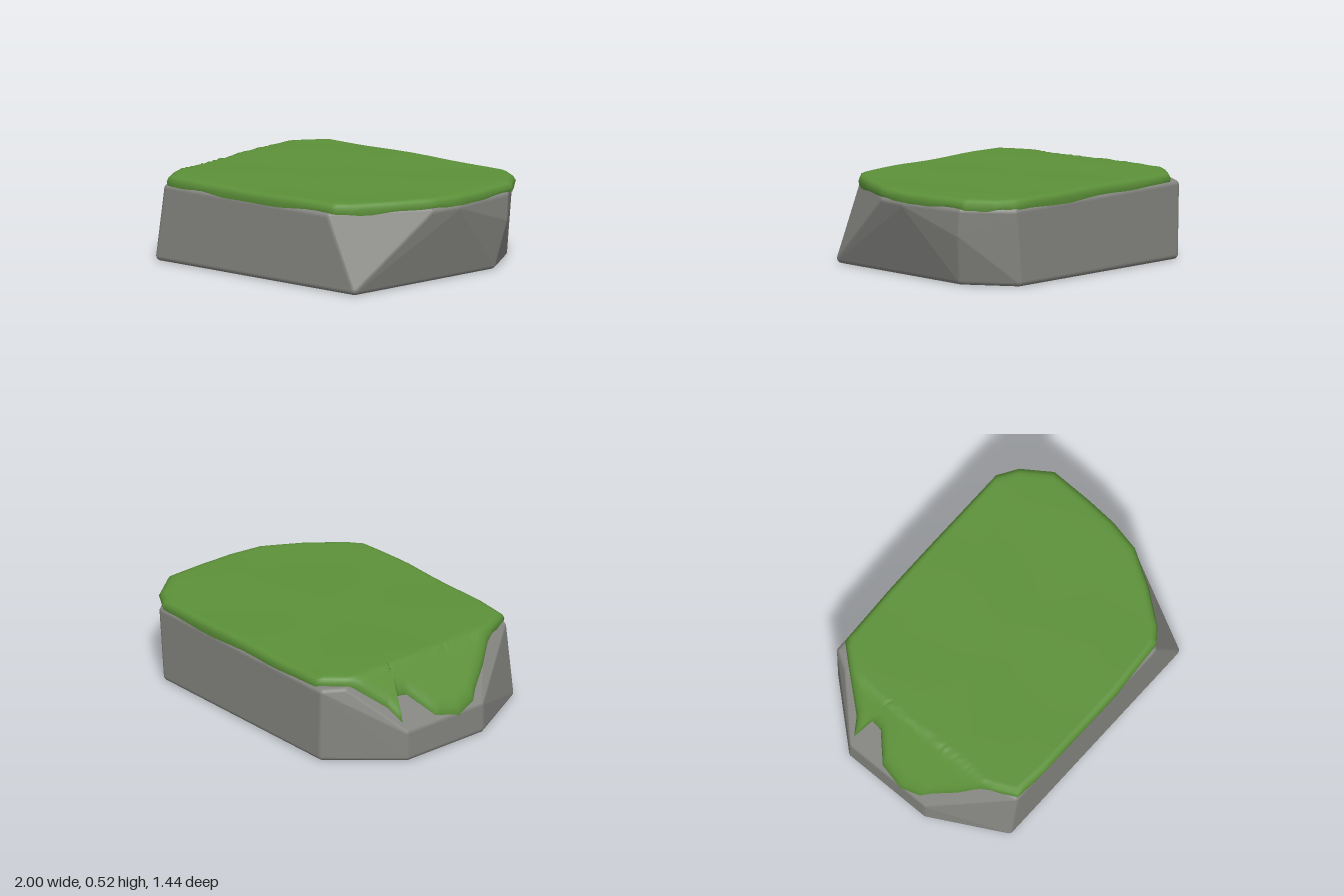
import * as THREE from 'three';
import { ConvexGeometry } from 'three/addons/geometries/ConvexGeometry.js';

const stone = new THREE.MeshStandardMaterial({ color: 0x858581 });
stone.name = 'stone grey';
const grass = new THREE.MeshStandardMaterial({ color: 0x5c9139, side: THREE.DoubleSide });
grass.name = 'grass green';

// Convex block with softly rounded edges: a small ball swept over every corner
function createRock() {
  const r = 0.03;
  const corners = [
    // foot
    [-0.75, 0, 0.71], [0.77, 0, 0.71], [0.93, 0, -0.4], [0.76, 0, -0.715],
    [-0.66, 0, -0.715], [-0.995, 0, -0.33], [-0.995, 0, 0.26],
    // bend in the right face
    [0.99, 0.33, -0.44],
    // top edge
    [0.57, 0.47, 0.705], [0.95, 0.47, 0.2], [0.99, 0.47, 0], [0.99, 0.47, -0.45],
    [0.8, 0.47, -0.715], [-0.67, 0.47, -0.715], [-0.74, 0.47, -0.6],
    [-0.74, 0.47, 0.5], [-0.69, 0.47, 0.705],
    // low end of the slope
    [-0.995, 0.21, -0.33], [-0.995, 0.21, 0.26],
  ];
  const ball = new THREE.IcosahedronGeometry(r, 3).getAttribute('position');
  const points = [];
  const seen = new Set();
  for (const [x, y, z] of corners) {
    const core = new THREE.Vector3(x * 0.97, y === 0 ? r : y - r, z * 0.958);
    for (let i = 0; i < ball.count; i++) {
      const p = new THREE.Vector3().fromBufferAttribute(ball, i).add(core);
      const key = p.toArray().map((v) => v.toFixed(4)).join();
      if (!seen.has(key)) points.push(p);
      seen.add(key);
    }
  }
  const mesh = new THREE.Mesh(new ConvexGeometry(points), stone);
  mesh.name = 'rock';
  return mesh;
}

// Height of the turf: flat with gentle bumps, falling away at the left end
function turfHeight(x, z) {
  const bump = 0.004 * Math.sin(7 * x + 3 * z) * Math.cos(5 * z - 2 * x);
  return Math.min(0.52, 0.225 + 1.15 * (x + 1)) + bump;
}

// Grass cap: rings from the ragged lip in to the middle
function createTurf() {
  const outline = [
    [-0.6, -0.705], [-0.2, -0.718], [0.3, -0.718], [0.76, -0.715], [0.88, -0.64], [0.95, -0.54],
    [1, -0.47], [1, -0.2], [0.99, 0], [0.95, 0.2], [0.82, 0.42], [0.67, 0.62], [0.58, 0.69],
    [0.2, 0.718], [-0.2, 0.715], [-0.45, 0.718], [-0.67, 0.7], [-0.72, 0.6], [-0.77, 0.49],
    [-0.85, 0.38], [-0.93, 0.25], [-0.97, 0.2], [-1, 0.07], [-0.97, -0.09],
    // notch
    [-0.85, -0.21], [-0.84, -0.285], [-0.95, -0.33], [-0.87, -0.38], [-0.72, -0.57],
  ];
  const steps = 4;
  const rim = [];
  outline.forEach(([x, z], i) => {
    const [nx, nz] = outline[(i + 1) % outline.length];
    for (let k = 0; k < steps; k++) {
      const t = k / steps;
      rim.push([x + (nx - x) * t, z + (nz - z) * t]);
    }
  });

  // [scale towards the middle, drop below the turf height]
  const rings = [[0.994, 0.062], [1, 0.035], [0.988, 0.01], [0.965, 0]];
  for (let s = 0.94; s > 0.66; s -= 0.03) rings.push([s, 0]);
  rings.push([0.45, 0], [0.2, 0], [0, 0]);

  const n = rim.length;
  const positions = [];
  const index = [];
  rings.forEach(([s, drop], j) => {
    rim.forEach(([x, z], i) => {
      const ragged = j === 0 ? 0.006 * Math.sin(i * 0.55) + 0.004 * Math.sin(i * 1.3) : 0;
      positions.push(x * s, turfHeight(x * s, z * s) - drop + ragged, z * s);
      if (j < rings.length - 1) {
        const a = j * n + i, b = j * n + (i + 1) % n;
        index.push(a, a + n, b, b, a + n, b + n);
      }
    });
  });
  const geometry = new THREE.BufferGeometry();
  geometry.setAttribute('position', new THREE.Float32BufferAttribute(positions, 3));
  geometry.setIndex(index);
  geometry.computeVertexNormals();
  const mesh = new THREE.Mesh(geometry, grass);
  mesh.name = 'grassCap';
  return mesh;
}

export function createModel() {
  const group = new THREE.Group();
  group.name = 'grassyRock';
  group.add(createRock(), createTurf());
  return group;
}
